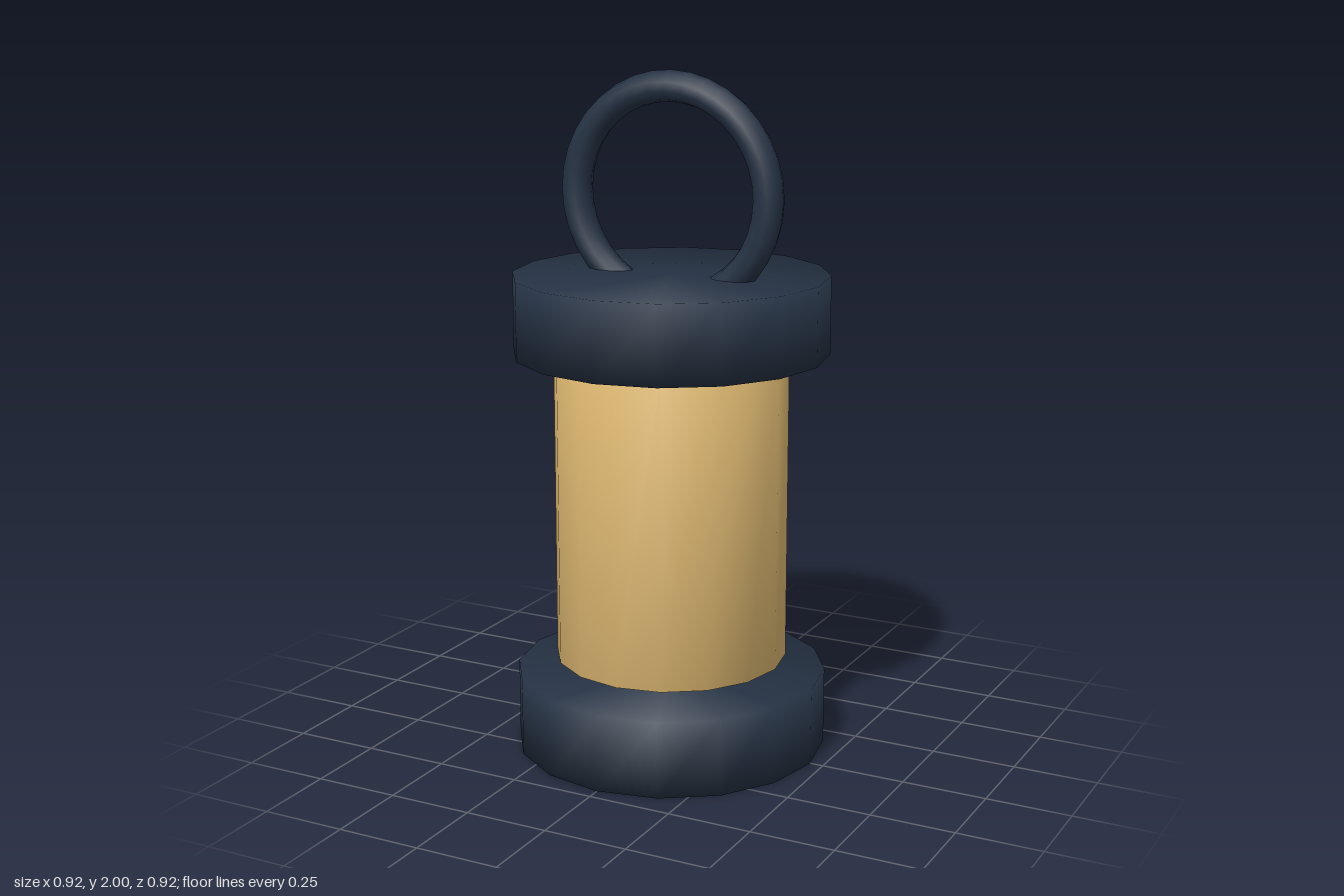
import * as THREE from 'three';
import { mergeVertices } from 'three/addons/utils/BufferGeometryUtils.js';

const SIDES = 16;

// Closed cylinder whose shading rolls softly over the rims
function softDrum(radius, bottom, top) {
  const g = new THREE.CylinderGeometry(radius, radius, top - bottom, SIDES);
  g.deleteAttribute('normal');
  g.deleteAttribute('uv');
  const merged = mergeVertices(g, 1e-4);
  merged.computeVertexNormals();
  merged.translate(0, (top + bottom) / 2, 0);
  return merged;
}

export function createModel() {
  const navy = new THREE.MeshStandardMaterial({ color: 0x253244 });
  navy.name = 'darkMetal';
  const amber = new THREE.MeshStandardMaterial({ color: 0xe0ba72 });
  amber.name = 'amberGlass';

  const model = new THREE.Group();
  model.name = 'lantern';
  const add = (name, geometry, material) => {
    const mesh = new THREE.Mesh(geometry, material);
    mesh.name = name;
    model.add(mesh);
    return mesh;
  };

  // Base and cap are equal discs; the glass hangs just clear of the base
  add('base', softDrum(0.46, 0, 0.23), navy);
  add('glass', softDrum(0.343, 0.273, 1.192), amber);
  add('cap', softDrum(0.46, 1.19, 1.42), navy);

  // Carrying ring, sunk into the cap
  add('ring', new THREE.TorusGeometry(0.306, 0.045, 10, 36), navy).position.y = 1.649;

  return model;
}
